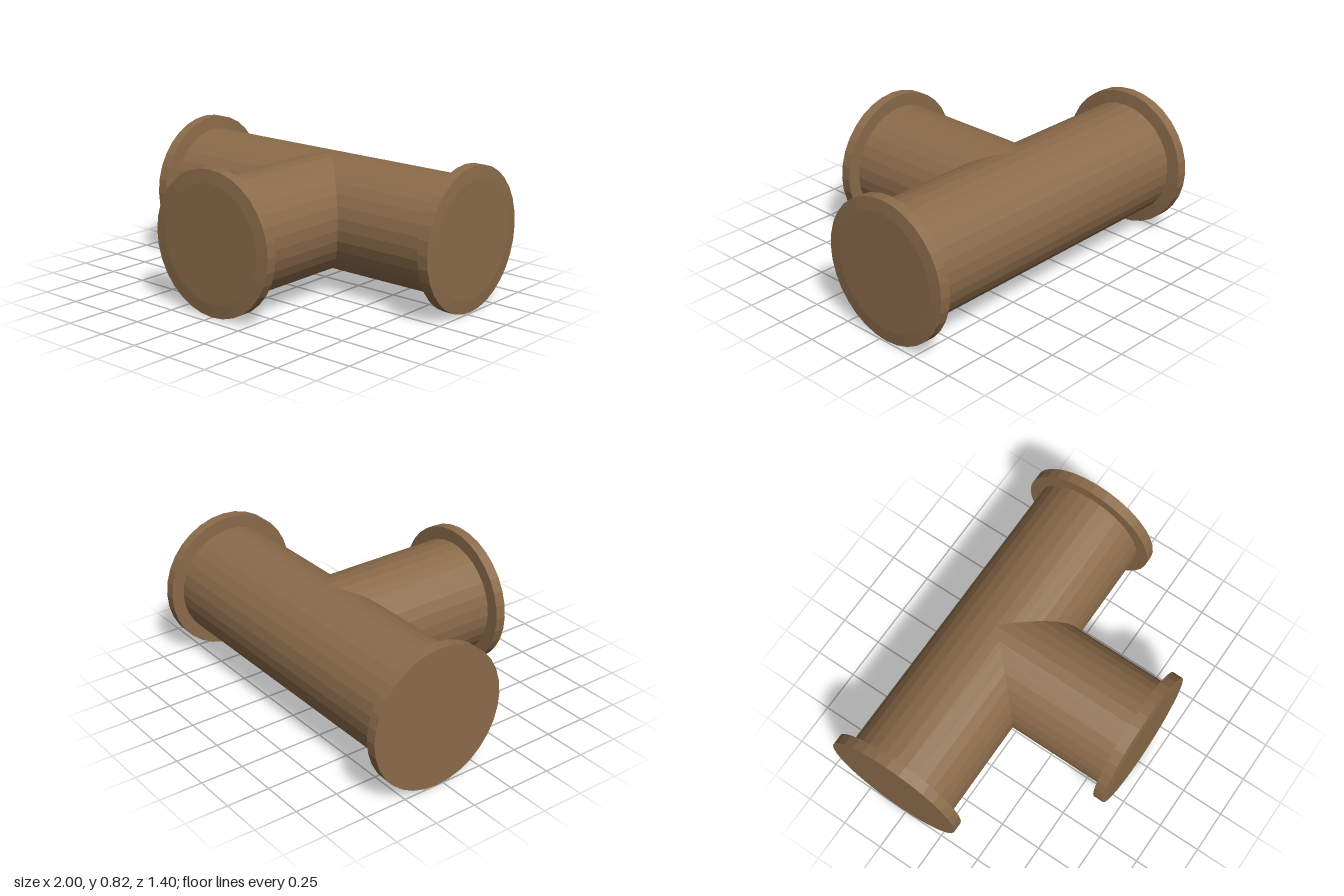
import * as THREE from 'three';

const SIDES = 32;
const PIPE_R = 0.333, FLANGE_R = 0.408;
const AXIS_Y = 0.408, AXIS_Z = -0.29;

export function createModel() {
  const group = new THREE.Group();
  group.name = 'teePipe';
  const material = new THREE.MeshStandardMaterial({ color: 0x8b6b4a, flatShading: true });

  // Adds a part whose own y axis is turned along x (run) or z (branch)
  function add(name, geometry, axis, x, z) {
    const mesh = new THREE.Mesh(geometry, material);
    mesh.name = name;
    if (axis === 'x') mesh.rotation.z = -Math.PI / 2;
    else mesh.rotation.x = Math.PI / 2;
    mesh.position.set(x, AXIS_Y, z);
    group.add(mesh);
  }

  const pipe = (length) => new THREE.CylinderGeometry(PIPE_R, PIPE_R, length, SIDES);

  // Flange: solid disc, flat on one face and slightly bevelled on the other
  const flange = new THREE.LatheGeometry([
    [0, 0], [FLANGE_R, 0], [FLANGE_R, 0.062], [PIPE_R, 0.07], [0, 0.07],
  ].map(([r, y]) => new THREE.Vector2(r, y)), SIDES);

  // Straight run with a flange at each end
  add('mainPipe', pipe(1.9), 'x', 0, AXIS_Z);
  add('rightFlange', flange, 'x', -1, AXIS_Z);
  add('leftFlange', flange, 'x', 0.93, AXIS_Z);

  // Branch from the centre of the run to the front
  const branchEnd = 0.628;
  add('branchPipe', pipe(branchEnd - AXIS_Z), 'z', 0, (branchEnd + AXIS_Z) / 2);
  add('frontFlange', flange, 'z', 0, branchEnd);

  return group;
}
